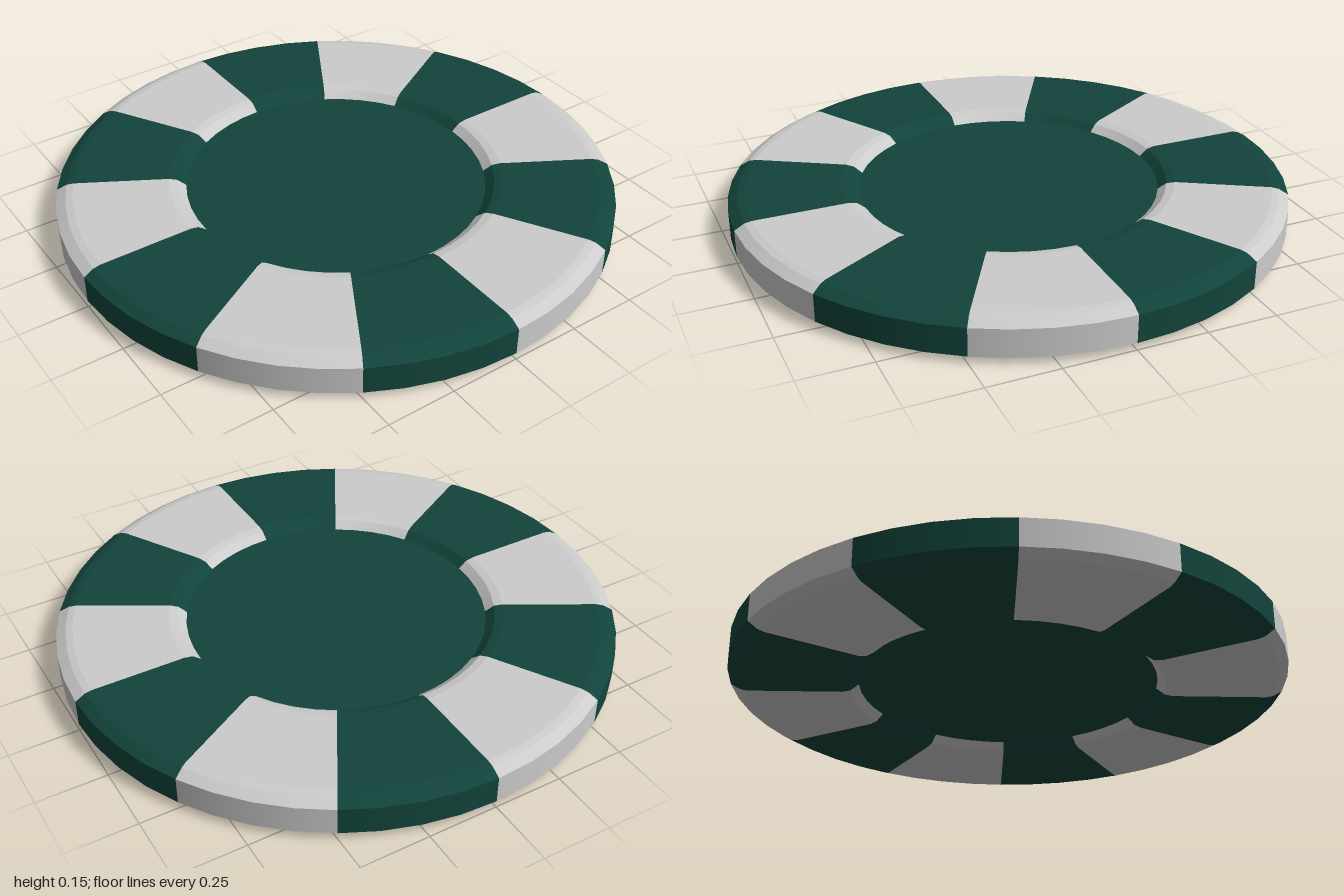
import * as THREE from 'three';
import { mergeGeometries } from 'three/addons/utils/BufferGeometryUtils.js';

const SECTORS = 12;
const STEPS = 4; // facets per sector
const HEIGHT = 0.15;
const FLOOR_RADIUS = 0.54;
const FLOOR_DEPTH = 0.03;

// Upper half of the ring's section, from the outer wall in to the recess floor
const upper = [
  [1, 0.125], [0.965, 0.145], [0.94, HEIGHT],
  [0.6, HEIGHT], [0.57, 0.144], [FLOOR_RADIUS, HEIGHT - FLOOR_DEPTH],
];
// The lower half mirrors the upper one
const lower = upper.map(([r, y]) => [r, HEIGHT - y]).reverse();
const profile = [...lower, ...upper].map(([r, y]) => new THREE.Vector2(r, y));

// One sector: each profile strip is smooth around the axis, with crisp edges between strips
function sectorGeometry(start, angle) {
  const strips = [];
  for (let i = 0; i < profile.length - 1; i++) {
    strips.push(new THREE.LatheGeometry([profile[i], profile[i + 1]], STEPS, start, angle));
  }
  return mergeGeometries(strips);
}

export function createModel() {
  const model = new THREE.Group();
  model.name = 'gamingChip';
  const grey = new THREE.MeshStandardMaterial({ color: 0xcccccc });
  const green = new THREE.MeshStandardMaterial({ color: 0x12443b });

  // Rim of alternating grey and green sectors
  const rim = new THREE.Group();
  rim.name = 'rim';
  const angle = (Math.PI * 2) / SECTORS;
  for (let i = 0; i < SECTORS; i++) {
    const isGrey = i % 2 === 0;
    const sector = new THREE.Mesh(sectorGeometry(i * angle, angle), isGrey ? grey : green);
    sector.name = isGrey ? 'greySector' : 'greenSector';
    rim.add(sector);
  }
  model.add(rim);

  // Recessed centre, showing on both faces
  const core = new THREE.Mesh(
    new THREE.CylinderGeometry(FLOOR_RADIUS, FLOOR_RADIUS, HEIGHT - 2 * FLOOR_DEPTH, SECTORS * STEPS),
    green,
  );
  core.name = 'recessedCentre';
  core.position.y = HEIGHT / 2;
  model.add(core);

  return model;
}
